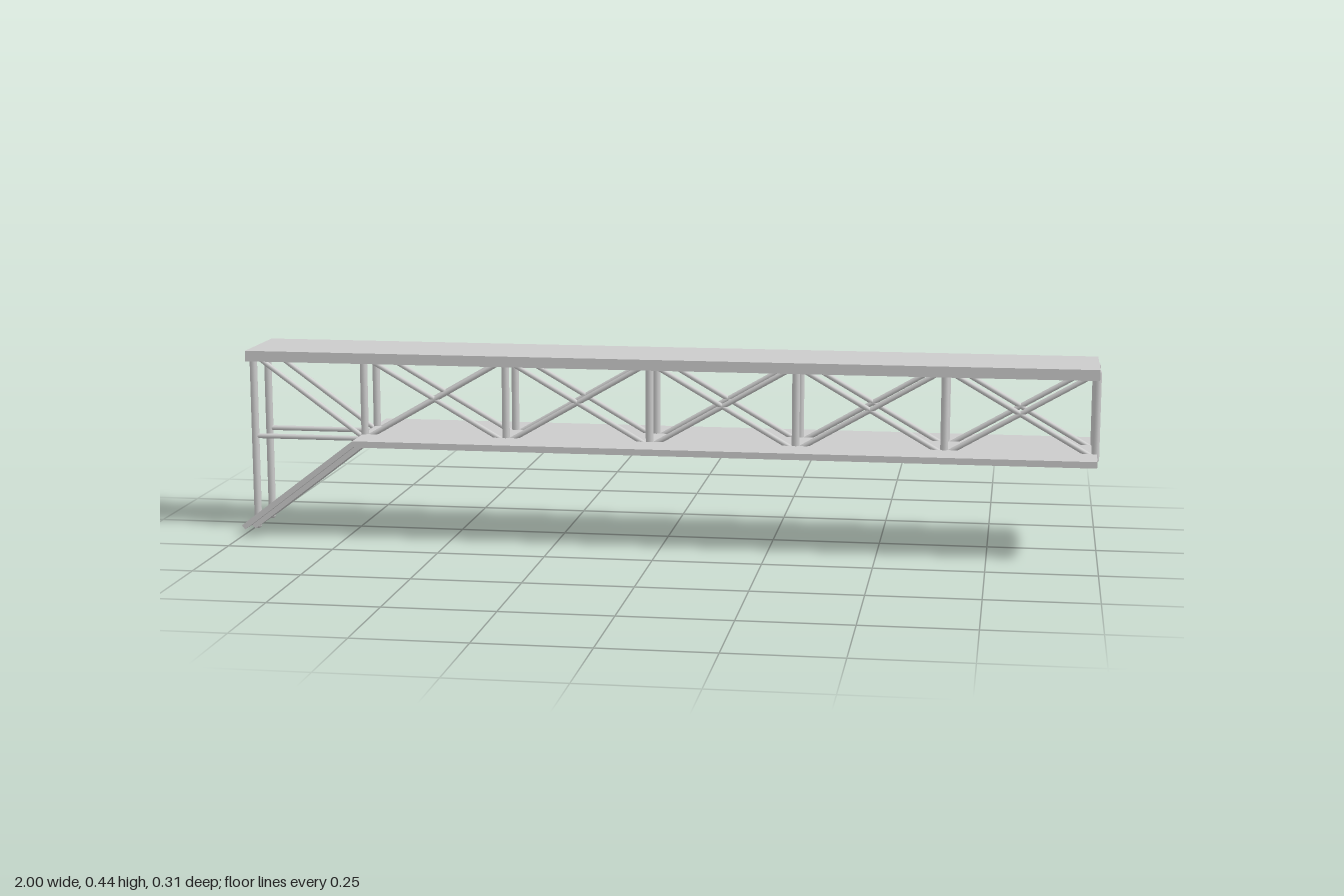
import * as THREE from 'three';

const material = new THREE.MeshStandardMaterial({ color: 0xcccccc });
const railZ = 0.055;
const endX = 0.99;
const postR = 0.009;
const rodR = 0.006;
const lowY = 0.226;
const highY = 0.424;

function addMesh(parent, name, geometry) {
  const mesh = new THREE.Mesh(geometry, material);
  mesh.name = name;
  parent.add(mesh);
  return mesh;
}

// Side profile in x/y, extruded symmetrically across z
function plate(parent, name, points, width) {
  const shape = new THREE.Shape(points.map(([x, y]) => new THREE.Vector2(x, y)));
  const geometry = new THREE.ExtrudeGeometry(shape, { depth: width, bevelEnabled: false });
  geometry.translate(0, 0, -width / 2);
  return addMesh(parent, name, geometry);
}

// Round-ended bar between two points of the x/y plane
function bar(parent, name, [x1, y1], [x2, y2], radius) {
  const dx = x2 - x1, dy = y2 - y1;
  const mesh = addMesh(parent, name, new THREE.CapsuleGeometry(radius, Math.hypot(dx, dy), 4, 12));
  mesh.position.set((x1 + x2) / 2, (y1 + y2) / 2, 0);
  mesh.rotation.z = Math.atan2(dy, dx) - Math.PI / 2;
  return mesh;
}

function createTruss(z) {
  const truss = new THREE.Group();
  truss.name = z > 0 ? 'frontTruss' : 'backTruss';
  truss.position.z = z;

  // Upright posts; the one at the ramp end reaches the ground
  const stations = [-0.72, -0.378, -0.036, 0.306, 0.648, endX];
  bar(truss, 'longPost', [-endX, postR], [-endX, highY], postR);
  stations.forEach((x) => bar(truss, 'post', [x, lowY], [x, highY], postR));

  // Crossed braces in every full bay
  for (let i = 0; i < stations.length - 1; i++) {
    const a = stations[i], b = stations[i + 1];
    bar(truss, 'risingBrace', [a, lowY], [b, highY], rodR);
    bar(truss, 'fallingBrace', [a, highY], [b, lowY], rodR);
  }

  // Bay above the ramp: one diagonal and one level tie
  bar(truss, 'endBrace', [-endX, highY], [stations[0], lowY], rodR);
  bar(truss, 'tieBar', [-endX, lowY], [stations[0], lowY], rodR);
  return truss;
}

export function createModel() {
  const model = new THREE.Group();
  model.name = 'footbridge';

  // Roof slab
  const roof = addMesh(model, 'roof', new THREE.BoxGeometry(1.988, 0.025, 0.206));
  roof.position.y = 0.4255;

  // Wide walkway, then its ramp
  plate(model, 'walkway', [[-0.72, 0.225], [0.993, 0.225], [0.993, 0.238], [-0.724, 0.238]], 0.31);
  plate(model, 'ramp', [[-0.99, 0.018], [-0.72, 0.225], [-0.724, 0.238], [-0.998, 0.028]], 0.31);

  // Narrower bearing layer below both
  plate(model, 'walkwayBearer', [[-0.716, 0.213], [0.993, 0.213], [0.993, 0.225], [-0.72, 0.225]], 0.206);
  plate(model, 'rampBearer', [[-0.982, 0.009], [-0.716, 0.213], [-0.72, 0.225], [-0.99, 0.018]], 0.206);

  // Matching trusses on both sides
  [railZ, -railZ].forEach((z) => model.add(createTruss(z)));
  return model;
}
